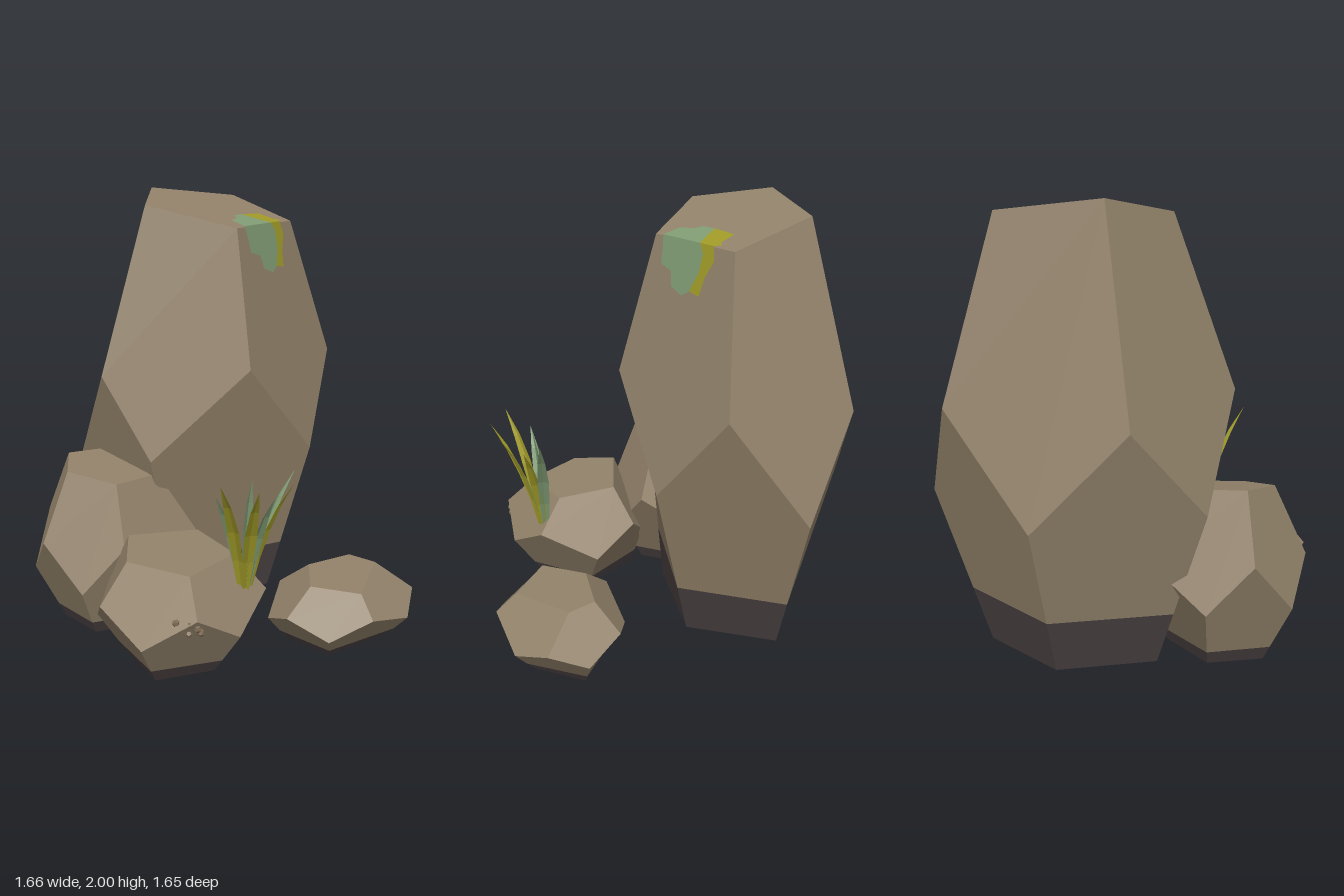
import * as THREE from 'three';

const mat = (name, color, side = THREE.FrontSide) => {
  const m = new THREE.MeshStandardMaterial({ color, side });
  m.name = name;
  return m;
};
const stone = mat('stone', 0x92826a);
const dampStone = mat('damp stone', 0x4a4042);
const pebbleBrown = mat('pebble brown', 0x7d6b55);
const sageGreen = mat('sage green', 0x809c74, THREE.DoubleSide);
const oliveYellow = mat('olive yellow', 0xa09a28, THREE.DoubleSide);

const V = (p) => new THREE.Vector3(...p);

// Flat polygons, each with one averaged normal pointing away from the centre
function facets(polys, centre, material, name) {
  const pos = [], nor = [];
  for (const poly of polys) {
    const mid = poly.reduce((a, p) => a.add(p), new THREE.Vector3()).divideScalar(poly.length);
    const n = new THREE.Vector3();
    poly.forEach((p, i) => {
      const q = poly[(i + 1) % poly.length];
      n.add(p.clone().sub(mid).cross(q.clone().sub(mid)));
    });
    const pts = poly.slice();
    if (n.dot(mid.sub(centre)) < 0) { n.negate(); pts.reverse(); }
    n.normalize();
    for (let i = 1; i < pts.length - 1; i++) {
      for (const p of [pts[0], pts[i], pts[i + 1]]) {
        pos.push(p.x, p.y, p.z);
        nor.push(n.x, n.y, n.z);
      }
    }
  }
  const g = new THREE.BufferGeometry();
  g.setAttribute('position', new THREE.Float32BufferAttribute(pos, 3));
  g.setAttribute('normal', new THREE.Float32BufferAttribute(nor, 3));
  const mesh = new THREE.Mesh(g, material);
  mesh.name = name;
  return mesh;
}

// Twelve-sided rock from four rings of five corners, with a dark foot up to height band
function rock(name, band, top, upper, lower, bottom) {
  const T = top.map(V), U = upper.map(V), L = lower.map(V);
  const B = bottom.map(([x, z]) => new THREE.Vector3(x, 0, z));
  const cut = B.map((b, i) => b.clone().lerp(L[i], band / L[i].y));
  const centre = [...T, ...B].reduce((a, p) => a.add(p), new THREE.Vector3()).divideScalar(10);
  const body = [T], foot = [B];
  for (let i = 0; i < 5; i++) {
    const j = (i + 1) % 5;
    body.push([T[i], T[j], U[j], L[i], U[i]]);
    body.push([L[i], U[j], L[j], cut[j], cut[i]]);
    foot.push([cut[i], cut[j], B[j], B[i]]);
  }
  const g = new THREE.Group();
  g.name = name;
  g.add(facets(body, centre, stone, name + 'Body'), facets(foot, centre, dampStone, name + 'Foot'));
  return g;
}

// Folded grass blade bending from base to tip
function blade(base, tip, width, material) {
  const a = V(base), c = V(tip);
  const bend = a.clone().lerp(c, 0.3);
  bend.y = a.y + (c.y - a.y) * 0.6;
  const curve = new THREE.QuadraticBezierCurve3(a, bend, c);
  const out = new THREE.Vector3(c.x - a.x, 0, c.z - a.z).normalize();
  const across = new THREE.Vector3(out.z, 0, -out.x);
  const rows = [[0, 0.5], [0.25, 0.85], [0.5, 1], [0.75, 0.65], [1, 0]].map(([t, w]) => {
    const p = curve.getPoint(t), h = width * w / 2;
    return [p.clone().addScaledVector(across, -h), p.clone().addScaledVector(out, -h * 0.4),
      p.clone().addScaledVector(across, h)];
  });
  const pos = [];
  for (let i = 0; i < 4; i++) {
    for (let k = 0; k < 2; k++) {
      const [p, q, r, s] = [rows[i][k], rows[i][k + 1], rows[i + 1][k + 1], rows[i + 1][k]];
      for (const v of [p, r, q, p, s, r]) pos.push(v.x, v.y, v.z);
    }
  }
  const g = new THREE.BufferGeometry();
  g.setAttribute('position', new THREE.Float32BufferAttribute(pos, 3));
  g.computeVertexNormals();
  const mesh = new THREE.Mesh(g, material);
  mesh.name = 'grassBlade';
  return mesh;
}

// Thin lichen plate in (x, s): s runs down the front face below 0 and back over the top above 0
function lichen(outline, onTop, material) {
  const g = new THREE.ShapeGeometry(new THREE.Shape(outline.map((p) => new THREE.Vector2(...p))));
  const p = g.attributes.position;
  for (let i = 0; i < p.count; i++) {
    const x = p.getX(i), s = p.getY(i);
    const edge = 0.01 - 0.34 * (x - 0.07);
    if (onTop) p.setXYZ(i, x, 1.846 + 0.267 * s, edge - s + 0.006);
    else p.setXYZ(i, x, 1.846 + s, edge - 0.234 * s + 0.006);
  }
  g.computeVertexNormals();
  const mesh = new THREE.Mesh(g, material);
  mesh.name = 'lichenPatch';
  return mesh;
}

export function createModel() {
  const model = new THREE.Group();
  model.name = 'rockCluster';

  model.add(rock('tallRock', 0.245,
    [[0.01, 2, -0.57], [0.48, 1.95, -0.52], [0.54, 1.84, -0.15], [0.07, 1.84, 0.01], [-0.23, 1.94, -0.28]],
    [[-0.13, 1.11, -0.8], [0.68, 1.15, -0.66], [0.73, 1.19, -0.06], [0.02, 1.22, 0.17], [-0.5, 1.19, -0.26]],
    [[0.28, 0.68, -0.83], [0.83, 0.71, -0.4], [0.43, 0.77, 0.14], [-0.35, 0.79, -0.1], [-0.42, 0.72, -0.6]],
    [[0.22, -0.65], [0.58, -0.4], [0.33, -0.05], [-0.18, -0.12], [-0.2, -0.5]]));

  model.add(rock('backRock', 0.065,
    [[-0.575, 0.795, -0.455], [-0.3, 0.78, -0.43], [-0.3, 0.72, -0.12], [-0.54, 0.725, -0.1], [-0.685, 0.77, -0.28]],
    [[-0.62, 0.5, -0.58], [-0.17, 0.48, -0.55], [-0.17, 0.45, 0], [-0.57, 0.45, 0], [-0.83, 0.46, -0.27]],
    [[-0.42, 0.28, -0.61], [-0.08, 0.25, -0.28], [-0.36, 0.25, 0.05], [-0.75, 0.25, -0.08], [-0.78, 0.27, -0.455]],
    [[-0.42, -0.48], [-0.22, -0.28], [-0.4, -0.08], [-0.64, -0.16], [-0.66, -0.4]]));

  model.add(rock('frontRock', 0.065,
    [[-0.56, 0.525, 0.02], [-0.25, 0.505, 0.12], [-0.26, 0.485, 0.4], [-0.55, 0.48, 0.46], [-0.69, 0.495, 0.2]],
    [[-0.6, 0.34, -0.06], [-0.12, 0.35, 0.06], [-0.18, 0.34, 0.52], [-0.61, 0.345, 0.59], [-0.83, 0.33, 0.2]],
    [[-0.33, 0.2, -0.06], [-0.09, 0.2, 0.26], [-0.4, 0.215, 0.61], [-0.78, 0.2, 0.43], [-0.74, 0.2, 0.03]],
    [[-0.37, -0.01], [-0.2, 0.28], [-0.42, 0.46], [-0.67, 0.37], [-0.63, 0.1]]));

  model.add(rock('lowRock', 0.04,
    [[0.19, 0.305, 0.4], [0.43, 0.3, 0.43], [0.47, 0.295, 0.56], [0.2, 0.275, 0.73], [0.04, 0.3, 0.57]],
    [[0.12, 0.2, 0.28], [0.55, 0.19, 0.35], [0.595, 0.175, 0.69], [0.18, 0.185, 0.825], [-0.1, 0.185, 0.57]],
    [[0.35, 0.11, 0.265], [0.64, 0.11, 0.52], [0.44, 0.11, 0.8], [-0.01, 0.11, 0.745], [-0.06, 0.11, 0.4]],
    [[0.32, 0.35], [0.57, 0.52], [0.4, 0.71], [0.06, 0.68], [0.02, 0.44]]));

  // Grass tuft
  const tuft = new THREE.Group();
  tuft.name = 'grassTuft';
  [
    [[-0.5, 0.905, 0.6], oliveYellow], [[-0.38, 0.88, 0.7], oliveYellow],
    [[-0.27, 0.82, 0.67], sageGreen], [[-0.19, 0.88, 0.7], oliveYellow],
    [[-0.12, 0.81, 0.6], oliveYellow], [[-0.04, 0.865, 0.54], sageGreen],
    [[-0.44, 0.82, 0.49], sageGreen], [[-0.265, 0.86, 0.52], sageGreen],
  ].forEach(([tip, m]) => {
    const base = [-0.265 + (tip[0] + 0.265) * 0.12, 0.34, 0.47 + (tip[2] - 0.47) * 0.12];
    tuft.add(blade(base, tip, 0.055, m));
  });
  model.add(tuft);

  // Lichen wrapped over the front top edge, in two colours
  const patch = new THREE.Group();
  patch.name = 'lichen';
  patch.add(
    lichen([[0.125, 0], [0.35, 0], [0.38, -0.04], [0.38, -0.12], [0.35, -0.2], [0.31, -0.225], [0.24, -0.2],
      [0.22, -0.14], [0.15, -0.12], [0.14, -0.06]], false, sageGreen),
    lichen([[0.35, 0], [0.43, 0], [0.45, -0.06], [0.42, -0.13], [0.41, -0.21], [0.35, -0.2], [0.38, -0.12],
      [0.38, -0.04]], false, oliveYellow),
    lichen([[0.125, 0], [0.35, 0], [0.3, 0.07], [0.26, 0.135], [0.19, 0.135], [0.18, 0.1], [0.115, 0.085]],
      true, sageGreen),
    lichen([[0.35, 0], [0.43, 0], [0.45, 0.02], [0.42, 0.04], [0.39, 0.12], [0.33, 0.13], [0.26, 0.135],
      [0.3, 0.07]], true, oliveYellow));
  model.add(patch);

  // Tiny pebbles clinging to the front rock
  const pebbles = new THREE.Group();
  pebbles.name = 'tinyPebbles';
  const pebbleShape = new THREE.DodecahedronGeometry(0.016);
  [[-0.66, 0.325], [-0.62, 0.325], [-0.64, 0.302], [-0.66, 0.28], [-0.625, 0.28], [-0.585, 0.285], [-0.6, 0.307]]
    .forEach(([x, y], i) => {
      const m = new THREE.Mesh(pebbleShape, pebbleBrown);
      m.name = 'tinyPebble';
      m.position.set(x, y, Math.min(0.51 + (x + 0.66) * 1.2, 0.58));
      m.rotation.set(i, i * 2, 0);
      pebbles.add(m);
    });
  model.add(pebbles);

  return model;
}
